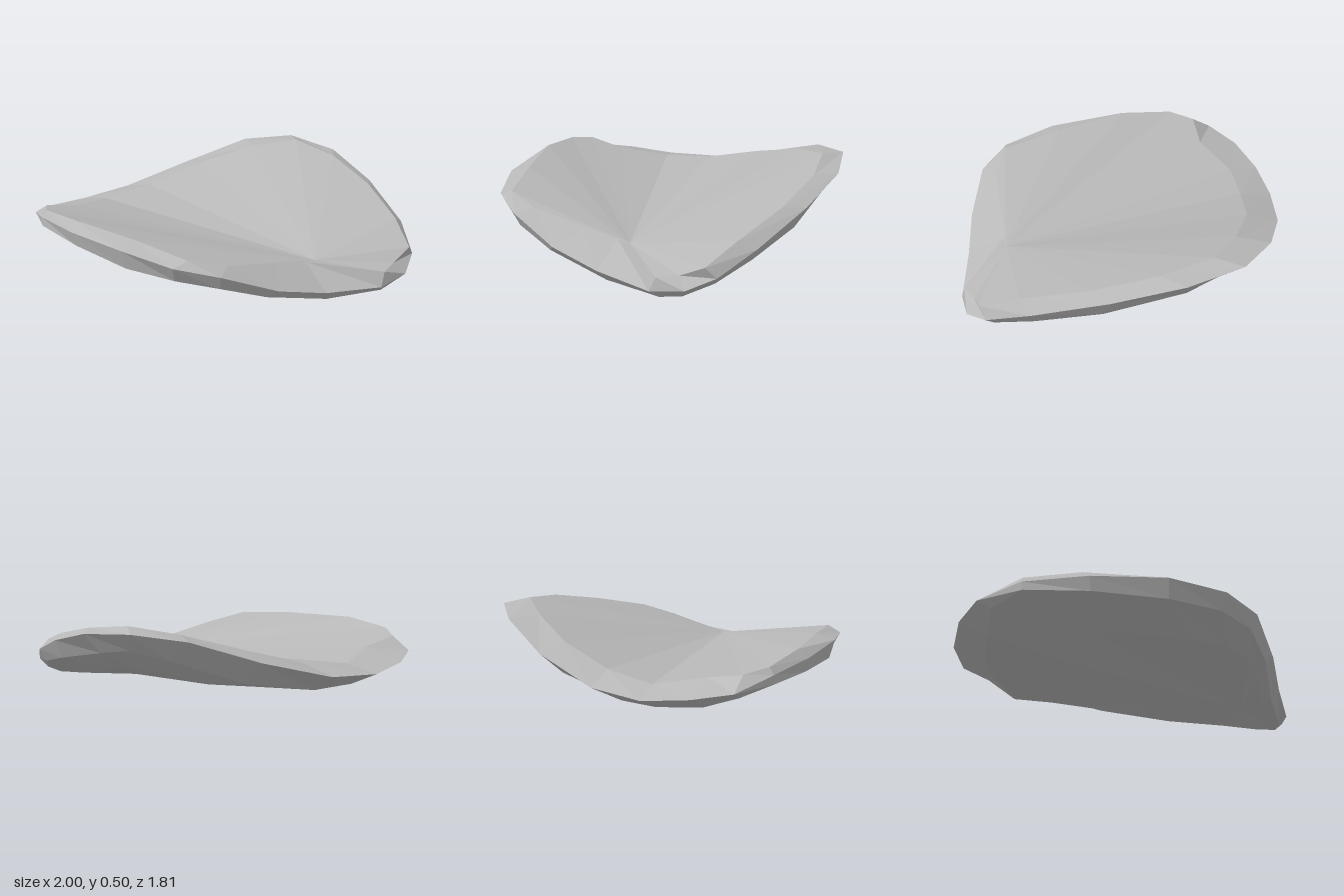
import * as THREE from 'three';

// Loops of cross-section points, counter-clockwise from the front fold
const lip = [
  [0.6, 0.13, 0.87], [0.7, 0.14, 0.8], [0.83, 0.2, 0.76], [0.88, 0.29, 0.53], [0.92, 0.38, 0.16],
  [0.89, 0.46, -0.22], [0.78, 0.5, -0.51], [0.53, 0.455, -0.64], [0.19, 0.36, -0.73], [-0.16, 0.265, -0.72],
  [-0.47, 0.23, -0.68], [-0.71, 0.28, -0.5], [-0.92, 0.325, -0.46], [-0.97, 0.35, -0.31], [-0.9, 0.38, 0],
  [-0.7, 0.37, 0.4], [-0.53, 0.34, 0.73], [-0.32, 0.29, 0.77], [0, 0.225, 0.72], [0.2, 0.19, 0.68],
];
const rim = [
  [0.57, 0.05, 0.89], [0.76, 0.08, 0.84], [0.88, 0.14, 0.72], [0.96, 0.24, 0.47], [1, 0.36, 0.04],
  [0.97, 0.45, -0.36], [0.83, 0.48, -0.67], [0.57, 0.445, -0.83], [0.19, 0.32, -0.91], [-0.24, 0.21, -0.91],
  [-0.56, 0.19, -0.85], [-0.8, 0.22, -0.73], [-0.96, 0.25, -0.57], [-1, 0.31, -0.31], [-0.94, 0.33, 0.05],
  [-0.8, 0.34, 0.45], [-0.62, 0.31, 0.73], [-0.4, 0.27, 0.86], [-0.08, 0.15, 0.9], [0.22, 0.08, 0.89],
];
const underside = [
  [0.6, 0.01, 0.84], [0.72, 0.03, 0.8], [0.84, 0.09, 0.68], [0.92, 0.17, 0.45], [0.95, 0.25, 0.08],
  [0.88, 0.34, -0.36], [0.78, 0.37, -0.53], [0.62, 0.33, -0.67], [0.2, 0.18, -0.74], [-0.25, 0.1, -0.7],
  [-0.5, 0.11, -0.68], [-0.75, 0.14, -0.58], [-0.93, 0.21, -0.5], [-1, 0.26, -0.3], [-0.92, 0.25, 0.05],
  [-0.77, 0.23, 0.44], [-0.59, 0.22, 0.69], [-0.39, 0.19, 0.82], [-0.13, 0.11, 0.86], [0.25, 0.02, 0.84],
];
const topApex = [0.27, 0.18, 0.66];
const bottomApex = [0.27, 0, 0.66];

// Loop part-way from the lower apex to the underside, sagging where it is highest
const belly = underside.map((p) => {
  const q = p.map((v, k) => bottomApex[k] + (v - bottomApex[k]) * 0.7);
  q[1] = Math.max(0, q[1] - 0.12 * p[1]);
  return q;
});

function facetedMesh(name, triangles, material) {
  const geometry = new THREE.BufferGeometry();
  geometry.setAttribute('position', new THREE.Float32BufferAttribute(triangles.flat(2), 3));
  geometry.computeVertexNormals(); // unshared corners give flat facets
  const mesh = new THREE.Mesh(geometry, material);
  mesh.name = name;
  return mesh;
}

// Band of facets between two loops
function band(a, b) {
  return a.flatMap((p, i) => {
    const j = (i + 1) % a.length;
    return [[p, b[i], b[j]], [p, b[j], a[j]]];
  });
}

// Fan of facets from an apex to a loop
function fan(apex, loop, up) {
  return loop.map((p, i) => {
    const q = loop[(i + 1) % loop.length];
    return up ? [apex, p, q] : [apex, q, p];
  });
}

export function createModel() {
  const grey = new THREE.MeshStandardMaterial({ color: 0xb8b8b8 });
  grey.name = 'stone grey';
  grey.flatShading = true;

  const group = new THREE.Group();
  group.name = 'curledPad';
  group.add(
    facetedMesh('dish', fan(topApex, lip, true), grey),
    facetedMesh('upperRim', band(lip, rim), grey),
    facetedMesh('lowerRim', band(rim, underside), grey),
    facetedMesh('belly', [...band(underside, belly), ...fan(bottomApex, belly, false)], grey),
  );
  return group;
}
